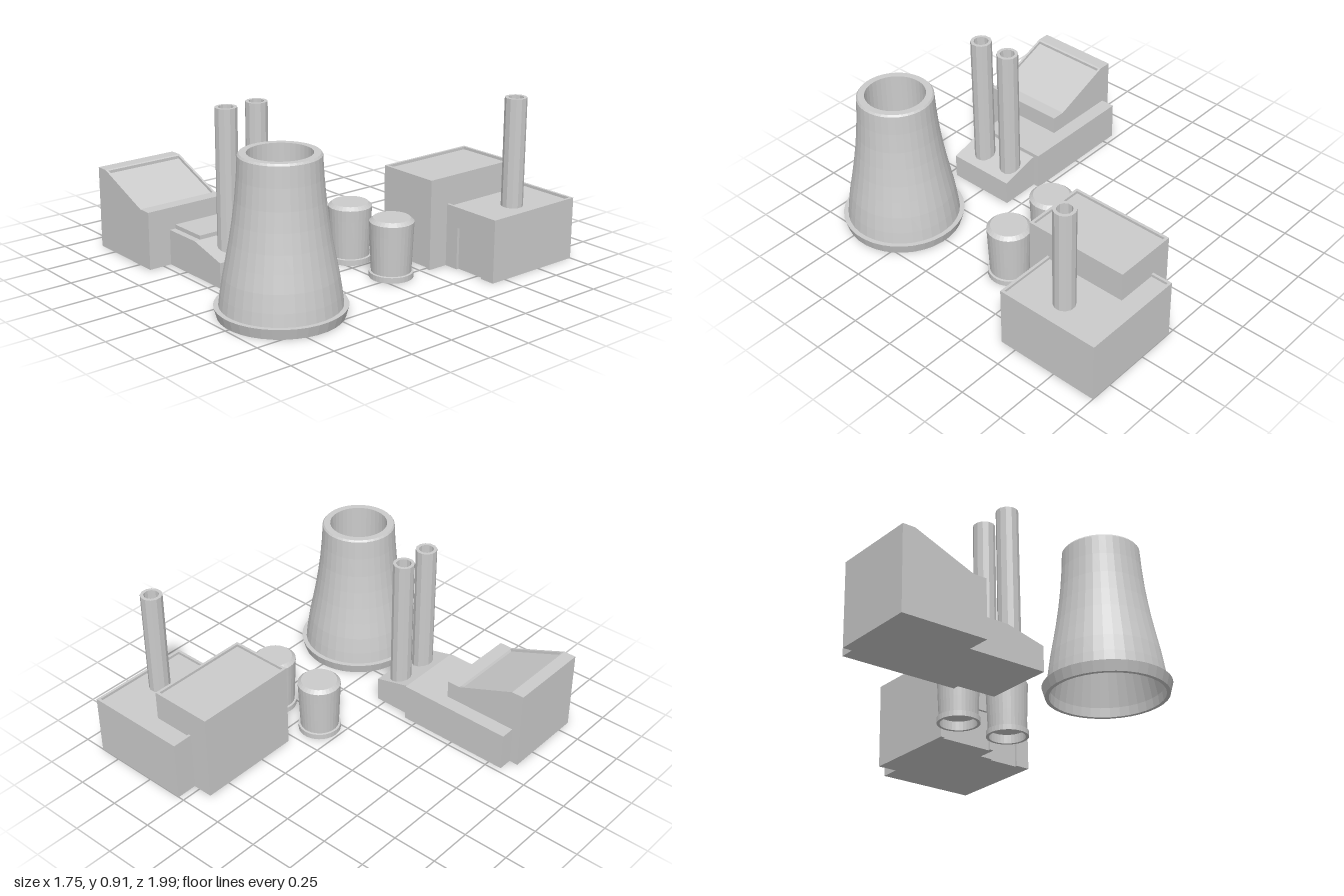
import * as THREE from 'three';

const grey = new THREE.MeshStandardMaterial({ color: 0xcccccc, flatShading: true });

function add(parent, name, geometry, x = 0, y = 0, z = 0) {
  const mesh = new THREE.Mesh(geometry, grey);
  mesh.name = name;
  mesh.position.set(x, y, z);
  parent.add(mesh);
  return mesh;
}

const toPoints = (list) => list.map(([a, b]) => new THREE.Vector2(a, b));
const lathe = (profile, sides) =>
  new THREE.LatheGeometry(toPoints(profile), sides, Math.PI / sides);
const prism = (outline, depth) =>
  new THREE.ExtrudeGeometry(new THREE.Shape(toPoints(outline)), { depth, bevelEnabled: false });

// Box given by its limits
function addBox(parent, name, x0, x1, y0, y1, z0, z1) {
  return add(parent, name, new THREE.BoxGeometry(x1 - x0, y1 - y0, z1 - z0),
    (x0 + x1) / 2, (y0 + y1) / 2, (z0 + z1) / 2);
}

// Flat-roofed hall with a parapet and a shallow door recess in its front wall
function addHall(parent, name, { x0, x1, z0, z1, height, door }) {
  const hall = new THREE.Group();
  hall.name = name;
  const rim = 0.015, roof = height - 0.015;
  addBox(hall, 'hallBody', x0, x1, 0, roof, z0, z1 - rim);
  const [d0, d1, dTop] = door;
  add(hall, 'frontWall', prism([
    [x0, 0], [d0, 0], [d0, dTop], [d1, dTop], [d1, 0], [x1, 0], [x1, roof], [x0, roof],
  ], rim), 0, 0, z1 - rim);
  addBox(hall, 'parapetFront', x0, x1, roof, height, z1 - rim, z1);
  addBox(hall, 'parapetBack', x0, x1, roof, height, z0, z0 + rim);
  addBox(hall, 'parapetLeft', x1 - rim, x1, roof, height, z0 + rim, z1 - rim);
  addBox(hall, 'parapetRight', x0, x0 + rim, roof, height, z0 + rim, z1 - rim);
  parent.add(hall);
}

export function createModel() {
  const model = new THREE.Group();
  model.name = 'powerPlant';

  // Cooling tower: hollow shell with a flared foot
  const wall = [
    [0.305, 0.055], [0.297, 0.12], [0.283, 0.21], [0.265, 0.3], [0.248, 0.39],
    [0.232, 0.49], [0.219, 0.59], [0.209, 0.7], [0.203, 0.805],
  ];
  add(model, 'coolingTower', lathe([
    [0, 0.48], [0.2, 0.48], [0.235, 0.3], [0.29, 0.05], [0.295, 0],
    [0.315, 0], [0.33, 0.055], ...wall, [0.195, 0.815], [0.16, 0.815], [0.16, 0.5], [0, 0.5],
  ], 36), 0.5, 0, 0.665);

  // Storage tanks, hollow under the foot ring
  const tank = lathe([
    [0, 0.05], [0.1, 0.05], [0.1, 0], [0.116, 0], [0.116, 0.03], [0.105, 0.032],
    [0.109, 0.12], [0.114, 0.24], [0.117, 0.302], [0.097, 0.32], [0, 0.32],
  ], 32);
  for (const x of [0.13, 0.46]) add(model, 'storageTank', tank, x, 0, -0.085);

  // Chimneys with open tops
  for (const [x, y, z] of [[-0.055, 0.1, 0.385], [-0.055, 0.1, 0.575], [0.725, 0.3, -0.69]]) {
    add(model, 'chimney', lathe([
      [0, y], [0.058, y], [0.058, 0.908], [0.04, 0.908], [0.04, 0.7], [0, 0.7],
    ], 12), x, 0, z);
  }

  // Rear halls
  addHall(model, 'tallHall', {
    x0: 0.17, x1: 0.53, z0: -0.885, z1: -0.293, height: 0.49, door: [0.195, 0.505, 0.22],
  });
  addHall(model, 'wideHall', {
    x0: 0.285, x1: 0.875, z0: -1, z1: -0.41, height: 0.34, door: [0.61, 0.79, 0.23],
  });

  // Sloped turbine house: two gable walls with the roof panel sunk between them
  const house = new THREE.Group();
  house.name = 'slopedHouse';
  const gable = [[-0.88, 0], [-0.4, 0], [-0.4, 0.315], [-0.475, 0.315], [-0.81, 0.45], [-0.88, 0.45]];
  const sunk = [
    [-0.88, 0], [-0.4, 0], [-0.4, 0.315], [-0.475, 0.315], [-0.482, 0.302],
    [-0.8, 0.43], [-0.8, 0.446], [-0.81, 0.45], [-0.88, 0.45],
  ];
  const rim = 0.013, back = 0.36, front = 0.835;
  add(house, 'backGable', prism(gable, rim), 0, 0, back);
  add(house, 'frontGable', prism(gable, rim), 0, 0, front - rim);
  add(house, 'houseBody', prism(sunk, front - back - 2 * rim), 0, 0, back + rim);
  model.add(house);

  // Boiler house under the chimneys, and the long annex through it
  add(model, 'boilerHouse', prism([
    [-0.5, 0], [0.05, 0], [0.05, 0.137], [-0.17, 0.193], [-0.5, 0.193],
  ], 0.39), 0, 0, 0.315);
  addBox(model, 'longAnnex', -0.83, -0.175, 0, 0.215, 0.28, 0.67);

  return model;
}
